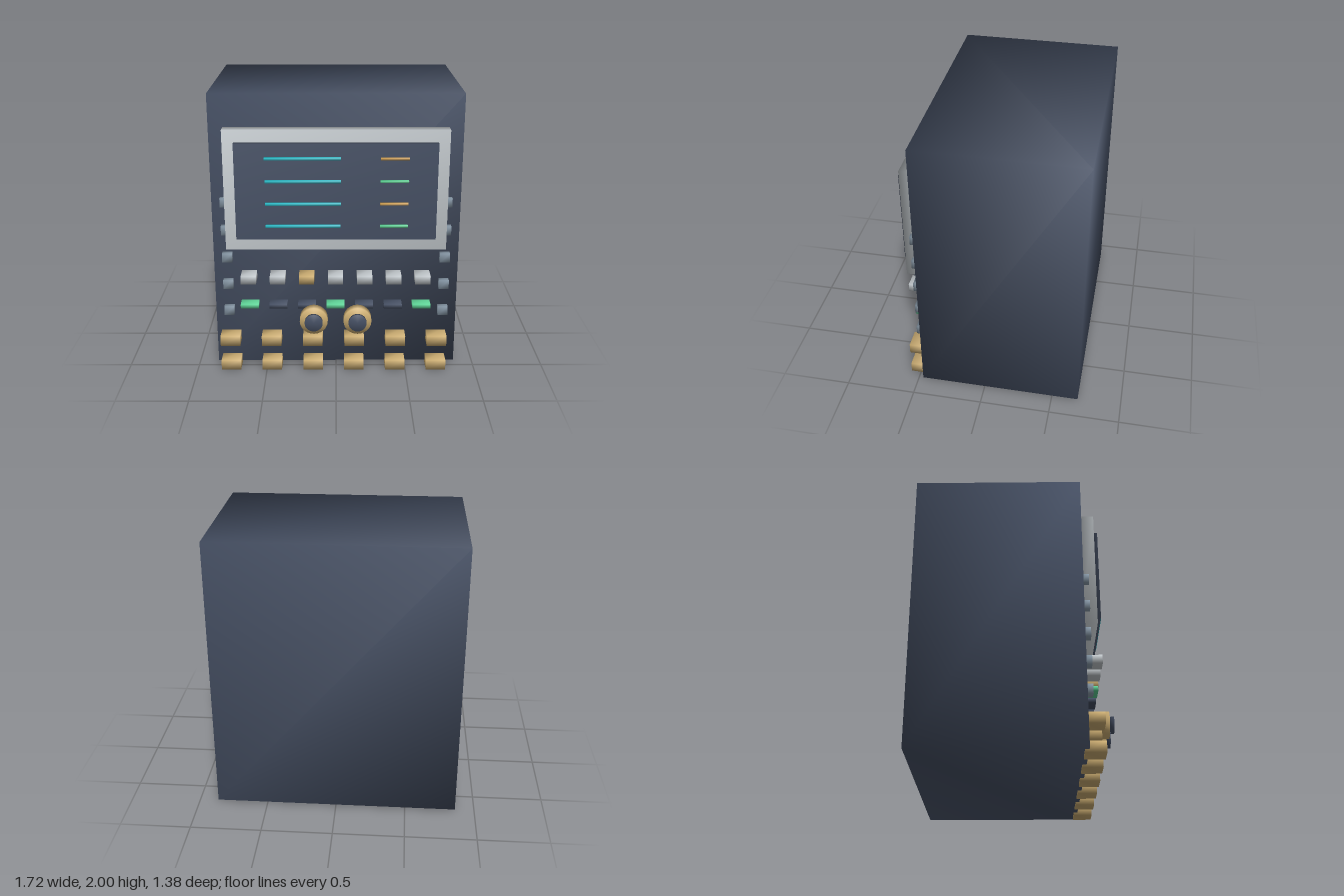
import * as THREE from 'three';
import { mergeVertices } from 'three/addons/utils/BufferGeometryUtils.js';

const paint = (name, color) => {
  const m = new THREE.MeshStandardMaterial({ color });
  m.name = name;
  return m;
};

// Weld corners so shading runs smoothly across the edges
function soften(geometry) {
  geometry.deleteAttribute('uv');
  geometry.deleteAttribute('normal');
  const welded = mergeVertices(geometry, 1e-4);
  welded.computeVertexNormals();
  return welded;
}

export function createModel() {
  const slate = paint('slate', 0x465064);
  const silver = paint('silver', 0xc4cace);
  const gold = paint('gold', 0xcfb074);
  const teal = paint('teal', 0x2cbecb);
  const amber = paint('amber', 0xd0a052);
  const green = paint('green', 0x5fd598);
  const steel = paint('steel', 0x8697a6);

  const model = new THREE.Group();
  model.name = 'controlConsole';

  const group = (name) => {
    const g = new THREE.Group();
    g.name = name;
    model.add(g);
    return g;
  };

  // Box centred on x, y and running from z0 to z1
  function box(parent, name, material, x, y, w, h, z0, z1) {
    const mesh = new THREE.Mesh(soften(new THREE.BoxGeometry(w, h, z1 - z0)), material);
    mesh.position.set(x, y, (z0 + z1) / 2);
    mesh.name = name;
    parent.add(mesh);
  }

  // Disc facing forward, running from z0 to z1
  function disc(parent, name, material, x, y, r, z0, z1) {
    const geometry = new THREE.CylinderGeometry(r, r, z1 - z0, 24).rotateX(Math.PI / 2);
    const mesh = new THREE.Mesh(soften(geometry), material);
    mesh.position.set(x, y, (z0 + z1) / 2);
    mesh.name = name;
    parent.add(mesh);
  }

  const front = 0.463;

  // Cabinet
  box(model, 'cabinet', slate, 0, 1.01, 1.72, 1.98, -0.69, front);

  // Display with its readout lines
  const display = group('display');
  box(display, 'bezel', silver, 0, 1.352, 1.52, 0.845, front - 0.02, 0.555);
  box(display, 'screen', slate, 0, 1.352, 1.365, 0.675, 0.545, 0.585);
  [1.59, 1.432, 1.273, 1.115].forEach((y, i) => {
    box(display, 'longReadout', teal, -0.223, y, 0.51, 0.017, 0.583, 0.605);
    box(display, 'shortReadout', i % 2 ? green : amber, 0.393, y, 0.19, 0.015, 0.583, 0.605);
  });

  // Row of keys with indicator lamps beneath
  const keys = group('keys');
  const lamps = group('lamps');
  for (let i = 0; i < 7; i++) {
    const x = (i - 3) * 0.203 - 0.003;
    box(keys, 'key', i === 2 ? gold : silver, x, 0.708, 0.106, 0.06, front - 0.02, 0.585);
    box(lamps, 'lamp', i % 3 ? slate : green, x, 0.49, 0.127, 0.032, front - 0.02, 0.546);
  }

  // Two dials with dark caps
  const dials = group('dials');
  for (const x of [-0.156, 0.15]) {
    disc(dials, 'dial', gold, x, 0.43, 0.098, 0.593, 0.656);
    disc(dials, 'dialCap', slate, x, 0.43, 0.063, 0.669, 0.69);
  }

  // Two rows of large buttons
  const buttons = group('buttons');
  for (const y of [0.23, 0.038]) {
    for (let i = 0; i < 6; i++) {
      box(buttons, 'button', gold, -0.757 + i * 0.2955, y, 0.14, 0.075, 0.435, 0.572);
    }
  }

  // Columns of studs down both edges
  const studs = group('studs');
  for (const side of [-1, 1]) {
    for (let i = 0; i < 5; i++) {
      box(studs, 'stud', steel, side * 0.763, 1.25 - i * 0.203, 0.07, 0.065, front - 0.02, 0.505);
    }
  }

  return model;
}
